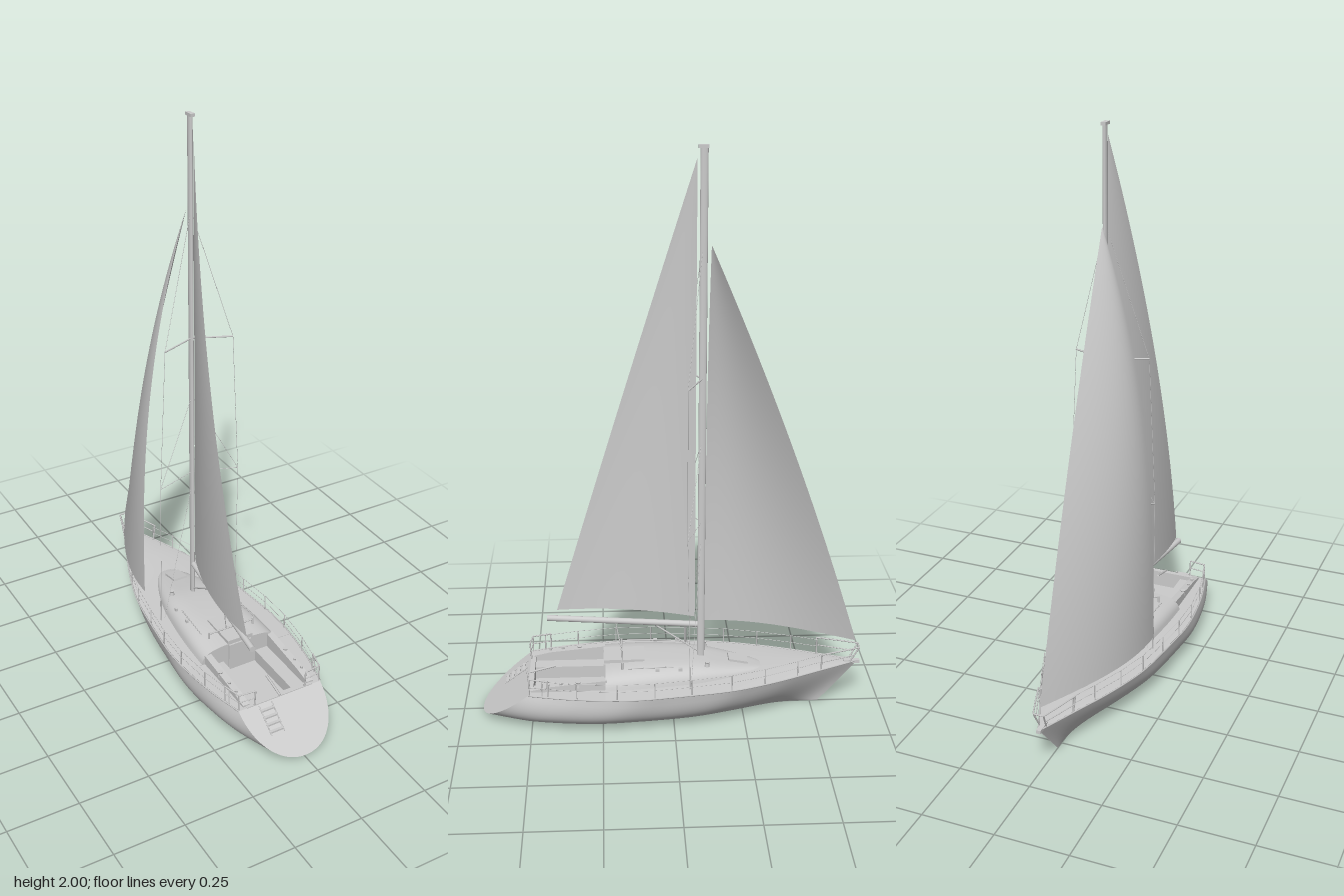
import * as THREE from 'three';

const V = (x, y, z) => new THREE.Vector3(x, y, z);
const lerp = THREE.MathUtils.lerp;
const grey = new THREE.MeshStandardMaterial({ color: 0xcccccc, side: THREE.DoubleSide });

// Sheer line: half width, deck height, z (bow is -z)
const sheerCurve = new THREE.CatmullRomCurve3([
  V(0.002, 0.16, -0.67), V(0.032, 0.158, -0.6), V(0.075, 0.156, -0.5), V(0.117, 0.153, -0.4),
  V(0.152, 0.15, -0.3), V(0.18, 0.148, -0.2), V(0.207, 0.145, 0), V(0.219, 0.143, 0.14),
  V(0.207, 0.141, 0.3), V(0.19, 0.14, 0.4), V(0.163, 0.139, 0.51)]);

function sheer(z) {
  let a = 0, b = 1;
  for (let i = 0; i < 30; i++) {
    const m = (a + b) / 2;
    if (sheerCurve.getPoint(m).z < z) a = m; else b = m;
  }
  return sheerCurve.getPoint(a);
}

// Hull surface point: t bow to stern, a sweeps deck edge - keel - deck edge
function hullPoint(t, a) {
  const z = lerp(-0.67, 0.51, t), s = sheer(z);
  const n = t < 0.55 ? lerp(1.3, 3.2, Math.sin(t / 0.55 * Math.PI / 2)) : lerp(3.2, 2.1, ((t - 0.55) / 0.45) ** 2);
  const c = Math.cos(a), sn = Math.max(0, Math.sin(a));
  const d = sn ** (2 / n);
  const lift = 0.012 * Math.max(0, (t - 0.88) / 0.12);
  return V(s.x * Math.sign(c) * Math.abs(c) ** (2 / n), s.y * (1 - d) + lift * d,
    lerp(z, lerp(-0.53, 0.68, t), d));
}

// Coachroof: z, half width, top height
const roofCurve = new THREE.CatmullRomCurve3([
  V(0.015, 0.152, -0.335), V(0.05, 0.163, -0.29), V(0.092, 0.18, -0.2), V(0.122, 0.197, -0.1),
  V(0.138, 0.203, 0), V(0.15, 0.203, 0.12), V(0.155, 0.194, 0.24)]);
function roofPoint(t, a) {
  const p = roofCurve.getPoint(t), base = sheer(p.z).y - 0.004, c = Math.cos(a);
  const k = Math.max(0, Math.sin(a)) ** 0.55;
  return V(p.x * Math.sign(c) * Math.abs(c) ** 0.55 * (1 - 0.1 * k), base + (p.y - base) * k, p.z);
}

export function createModel() {
  const boat = new THREE.Group();
  const add = (name, geo) => {
    const m = new THREE.Mesh(geo, grey);
    m.name = name;
    boat.add(m);
    return m;
  };
  // Surface from a rule f(u, v)
  const surface = (name, nu, nv, f) => {
    const g = new THREE.PlaneGeometry(1, 1, nu, nv), p = g.attributes.position;
    for (let j = 0; j <= nv; j++) for (let i = 0; i <= nu; i++) {
      const q = f(i / nu, j / nv);
      p.setXYZ(j * (nu + 1) + i, q.x, q.y, q.z);
    }
    g.computeVertexNormals();
    return add(name, g);
  };
  const box = (name, x0, x1, y0, y1, z0, z1) => add(name, new THREE.BoxGeometry(x1 - x0, y1 - y0, z1 - z0)
    .translate((x0 + x1) / 2, (y0 + y1) / 2, (z0 + z1) / 2));
  const rod = (name, a, b, r, sides = 6) => {
    const m = add(name, new THREE.CylinderGeometry(r, r, a.distanceTo(b), sides));
    m.position.copy(a).lerp(b, 0.5);
    m.quaternion.setFromUnitVectors(V(0, 1, 0), b.clone().sub(a).normalize());
    return m;
  };
  const chain = (name, pts, r) => pts.slice(1).forEach((p, i) => rod(name, pts[i], p, r));
  const drum = (name, x, y, z, r, h) => {
    add(name, new THREE.CylinderGeometry(r * 0.75, r, h, 12)).position.set(x, y + h / 2, z);
    add(name + 'Top', new THREE.CylinderGeometry(r, r * 0.8, h * 0.3, 12)).position.set(x, y + h * 1.1, z);
  };

  // Hull and sloping transom
  surface('hull', 40, 60, (u, v) => hullPoint(v, u * Math.PI));
  surface('transom', 1, 24, (u, v) => {
    const p = hullPoint(1, v * Math.PI / 2);
    p.x *= 2 * u - 1;
    return p;
  });

  // Foredeck and side decks, leaving the cockpit open
  surface('foredeck', 12, 40, (u, v) => {
    const s = sheer(lerp(-0.67, 0.24, v)), k = 2 * u - 1;
    return V(s.x * k, s.y + 0.006 * (1 - k * k) * Math.min(1, s.x * 10), s.z);
  });
  for (const side of [-1, 1]) {
    surface('sideDeck', 1, 12, (u, v) => {
      const s = sheer(lerp(0.24, 0.51, v));
      return V(side * lerp(0.115, s.x, u), s.y, s.z);
    });
    // Toe rail along the deck edge
    const edge = [];
    for (let i = 0; i <= 30; i++) {
      const s = sheer(lerp(-0.665, 0.508, i / 30));
      edge.push(V(side * s.x, s.y + 0.001, s.z));
    }
    add('toeRail', new THREE.TubeGeometry(new THREE.CatmullRomCurve3(edge), 60, 0.003, 5));
  }

  // Coachroof with aft bulkhead
  surface('coachroof', 28, 30, (u, v) => roofPoint(v, u * Math.PI));
  surface('bulkhead', 28, 1, (u, v) => {
    const p = roofPoint(1, u * Math.PI);
    p.y = lerp(p.y, 0.075, v);
    return p;
  });
  box('companionwayDoor', -0.045, 0.045, 0.09, 0.19, 0.238, 0.246);
  box('companionwaySlide', -0.05, 0.05, 0.198, 0.21, 0.1, 0.245);
  const hatch = box('foreHatch', -0.025, 0.03, -0.004, 0.004, -0.035, 0.035);
  hatch.position.set(0, 0.182, -0.235);
  hatch.rotation.x = -0.19;

  // Cockpit
  box('cockpitFloor', -0.07, 0.07, 0.07, 0.08, 0.238, 0.5);
  box('cockpitAftWall', -0.13, 0.13, 0.07, 0.141, 0.493, 0.511);
  const coaming = new THREE.Shape([[0.235, 0.11], [0.5, 0.11], [0.5, 0.145], [0.44, 0.158], [0.235, 0.178]]
    .map(([z, y]) => new THREE.Vector2(-z, y)));
  for (const side of [-1, 1]) {
    const sx = (a, b) => side > 0 ? [a, b] : [-b, -a];
    box('cockpitSeat', ...sx(0.065, 0.12), 0.07, 0.125, 0.238, 0.495);
    const g = new THREE.ExtrudeGeometry(coaming, { depth: 0.025, bevelEnabled: false });
    g.rotateY(Math.PI / 2).translate(side > 0 ? 0.115 : -0.14, 0, 0);
    add('coaming', g);
    [0.335, 0.395, 0.44].forEach((z, i) => drum('winch', side * 0.132, 0.153 - i * 0.003, z, i ? 0.006 : 0.01, 0.016));
    drum('mastWinch', side * 0.077, 0.192, -0.12, 0.009, 0.014);
    for (const z of [-0.03, 0.05]) box('deckBlock', ...sx(0.108, 0.116), 0.195, 0.206, z, z + 0.014);
    rod('roofGrabRail', V(side * 0.1, 0.205, 0.0), V(side * 0.11, 0.207, 0.16), 0.002);
  }
  rod('tiller', V(0, 0.142, 0.51), V(0, 0.165, 0.42), 0.004);

  // Boarding ladder lying on the transom
  const slope = (z, up = 0.008) => 0.139 - (z - 0.51) * 0.75 + up;
  for (const x of [-0.09, -0.04]) rod('ladderRail', V(x, slope(0.52), 0.52), V(x, slope(0.605), 0.605), 0.002);
  for (let i = 0; i < 4; i++) {
    const z = 0.535 + i * 0.02;
    box('ladderStep', -0.09, -0.04, slope(z, 0.004), slope(z, 0.01), z - 0.005, z + 0.005);
  }

  // Mast and boom
  const mast = add('mast', new THREE.CylinderGeometry(0.013, 0.013, 1.81, 16));
  mast.scale.x = 0.55;
  mast.position.set(0, 1.095, -0.102);
  box('mastCap', -0.008, 0.008, 1.99, 2.0, -0.117, -0.083);
  rod('boom', V(0, 0.32, -0.09), V(-0.073, 0.32, 0.445), 0.011, 12);
  rod('boomVang', V(0, 0.215, -0.09), V(-0.02, 0.31, 0.06), 0.003);

  // Mainsheet and traveller
  rod('traveller', V(-0.09, 0.214, 0.18), V(0.09, 0.214, 0.18), 0.003);
  for (const x of [-0.09, 0.09]) rod('travellerFoot', V(x, 0.19, 0.18), V(x, 0.22, 0.18), 0.004);
  for (const x of [-0.02, 0.01]) rod('mainsheet', V(x, 0.214, 0.18), V(-0.04, 0.31, 0.2), 0.0015);

  // Sails, bellied to one side
  surface('mainsail', 16, 40, (u, v) => {
    const leech = (0.075 + 0.15 * v) * (1 - v);
    return V(-leech * u - 0.12 * u * (1 - u) * (1 - v), 0.35 + 1.61 * v, lerp(-0.08, lerp(0.41, -0.08, v), u));
  });
  surface('jib', 20, 40, (u, v) => {
    const luff = lerp(-0.66, -0.128, v) - 0.1 * v * (1 - v);
    return V(-0.185 * (1 - v ** 2.6) * Math.sin(u * Math.PI / 2), 0.24 + 1.44 * v, lerp(luff, -0.128, u));
  });

  // Spreaders and shrouds
  for (const s of [-1, 1]) {
    rod('spreader', V(0, 1.23, -0.1), V(s * 0.13, 1.23, -0.045), 0.003);
    rod('lowerSpreader', V(0, 0.71, -0.1), V(s * 0.155, 0.71, -0.045), 0.0012);
    chain('shroud', [V(0, 1.68, -0.1), V(s * 0.13, 1.23, -0.045), V(s * 0.155, 0.71, -0.045), V(s * 0.157, 0.148, -0.055)], 0.0008);
    rod('innerShroud', V(0, 1.01, -0.1), V(s * 0.155, 0.71, -0.045), 0.0008);
    rod('lowerShroud', V(0, 0.66, -0.1), V(s * 0.14, 0.148, -0.06), 0.0008);
    rod('chainplate', V(s * 0.157, 0.145, -0.055), V(s * 0.157, 0.235, -0.055), 0.003);

    // Stanchions and lifelines
    const rail = (z, up) => {
      const p = sheer(z);
      return V(s * Math.max(p.x - 0.004, 0.012), p.y + up, z);
    };
    const posts = [0.46, 0.34, 0.2, 0.07, -0.06, -0.2, -0.32, -0.44, -0.53];
    for (const z of posts) rod('stanchion', rail(z, 0), rail(z, 0.06), 0.0022);
    for (const up of [0.032, 0.059]) chain('lifeline', posts.map(z => rail(z, up)), 0.001);

    // Bow pulpit
    const tip = V(s * 0.018, 0.22, -0.672);
    chain('pulpit', [rail(-0.53, 0), V(s * 0.066, 0.22, -0.53), V(s * 0.04, 0.22, -0.61), tip, V(s * 0.012, 0.16, -0.64)], 0.0028);
    chain('pulpitMidRail', [V(s * 0.066, 0.19, -0.53), V(s * 0.036, 0.19, -0.61), V(s * 0.017, 0.19, -0.656)], 0.002);

    // Stern rail
    chain('pushpit', [rail(0.44, 0), rail(0.44, 0.062), rail(0.505, 0.062), V(s * 0.1, 0.202, 0.513), V(s * 0.1, 0.14, 0.508)], 0.0028);
    rod('pushpitPost', rail(0.505, 0), rail(0.505, 0.062), 0.0025);
    chain('pushpitMidRail', [rail(0.44, 0.032), rail(0.505, 0.032), V(s * 0.1, 0.172, 0.511)], 0.002);
  }
  rod('pulpitBar', V(-0.018, 0.22, -0.672), V(0.018, 0.22, -0.672), 0.0028);
  box('anchorRoller', -0.008, 0.008, 0.152, 0.164, -0.677, -0.62);

  return boat;
}
